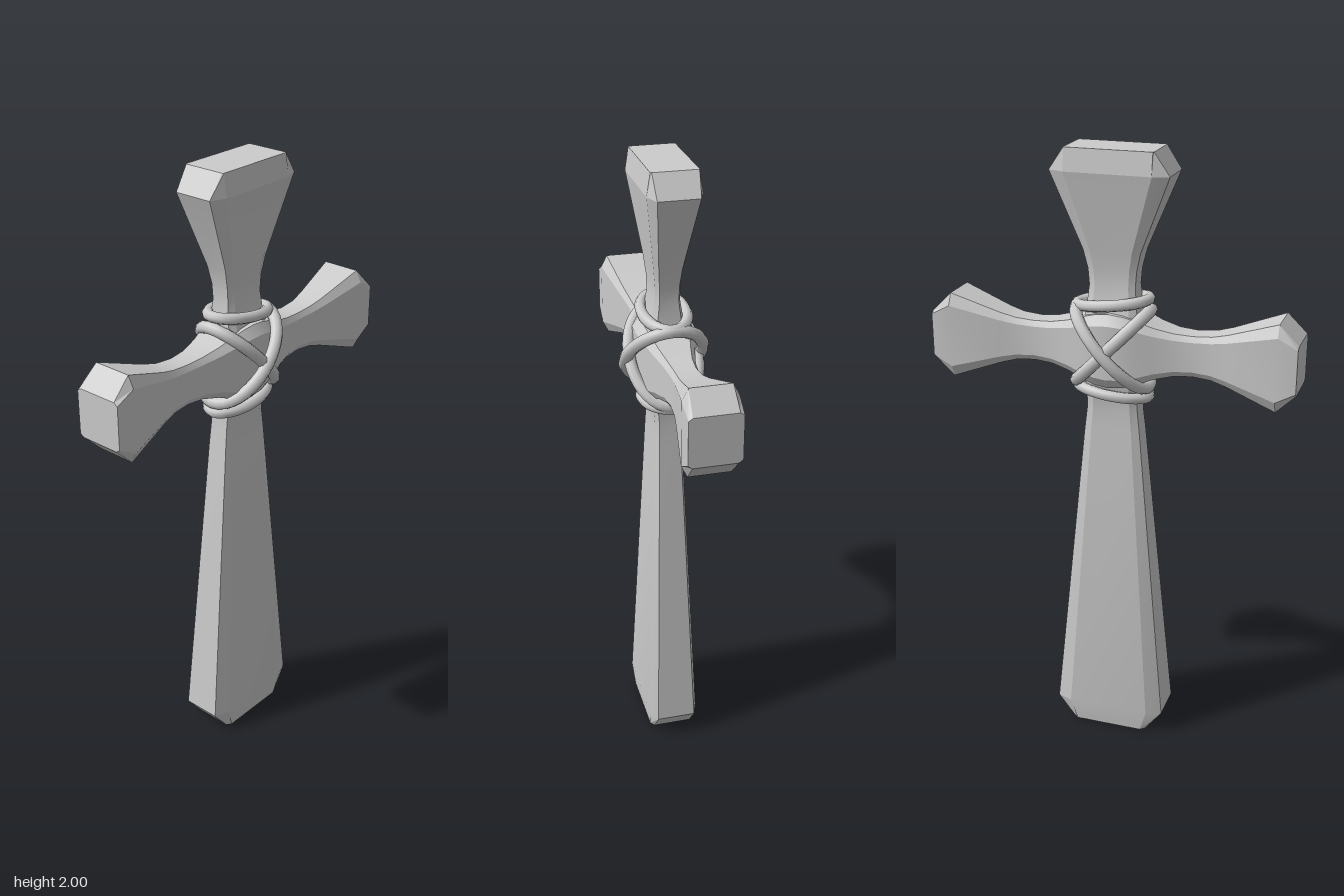
import * as THREE from 'three';
import { mergeVertices, toCreasedNormals } from 'three/addons/utils/BufferGeometryUtils.js';

const CENTRE_Y = 1.38;
const material = new THREE.MeshStandardMaterial({ color: 0xcccccc });

// Bevelled bar along y from stations [y, half width, half depth, bevel share of width, of depth]
function barGeometry(stations) {
  const pos = [], index = [], n = 8;
  for (const [y, w, d, bw = 0.27, bd = 0.23] of stations) {
    const iw = w * (1 - bw), id = d * (1 - bd);
    const ring = [[w, id], [iw, d], [-iw, d], [-w, id], [-w, -id], [-iw, -d], [iw, -d], [w, -id]];
    for (const [x, z] of ring) pos.push(x, y, z);
  }
  const last = (stations.length - 1) * n;
  for (let s = 0; s < last; s += n) {
    for (let i = 0; i < n; i++) {
      const a = s + i, b = s + (i + 1) % n;
      index.push(a, a + n, b, b, a + n, b + n);
    }
  }
  // End caps
  for (let i = 1; i < n - 1; i++) {
    index.push(0, i, i + 1, last, last + i + 1, last + i);
  }
  const g = new THREE.BufferGeometry();
  g.setAttribute('position', new THREE.Float32BufferAttribute(pos, 3));
  g.setIndex(index);
  return toCreasedNormals(mergeVertices(g, 1e-5), 0.3);
}

// Closed elliptical cord loop: long axis in the front plane, short axis along z
function cordLoop(name, y, angle, halfLength, halfDepth, radius) {
  const points = [];
  for (let i = 0; i < 16; i++) {
    const t = (i / 16) * Math.PI * 2;
    const u = Math.cos(t) * halfLength;
    points.push(new THREE.Vector3(u * Math.cos(angle), u * Math.sin(angle), Math.sin(t) * halfDepth));
  }
  const curve = new THREE.CatmullRomCurve3(points, true);
  const mesh = new THREE.Mesh(new THREE.TubeGeometry(curve, 40, radius, 8, true), material);
  mesh.name = name;
  mesh.position.set(0.006, y, 0);
  return mesh;
}

export function createModel() {
  const group = new THREE.Group();
  group.name = 'cross';

  // Upright with flared, bevelled ends and a thicker middle
  const upright = new THREE.Mesh(barGeometry([
    [0, 0.13, 0.076, 0.12, 0.16],
    [0.075, 0.188, 0.083],
    [1.1, 0.092, 0.045],
    [1.17, 0.084, 0.042],
    [1.24, 0.082, 0.048],
    [1.31, 0.09, 0.067],
    [1.38, 0.095, 0.08],
    [1.45, 0.09, 0.067],
    [1.52, 0.08, 0.048],
    [1.58, 0.074, 0.039],
    [1.63, 0.078, 0.04],
    [1.69, 0.092, 0.047],
    [1.93, 0.188, 0.083],
    [2, 0.14, 0.072, 0.02, 0.05],
  ]), material);
  upright.name = 'upright';
  group.add(upright);

  // Crossbar: one half profile, mirrored about the middle
  const half = [
    [0.592, 0.078, 0.08, 0.12, 0.16],
    [0.53, 0.139, 0.083],
    [0.37, 0.083, 0.055],
    [0.32, 0.07, 0.047],
    [0.26, 0.065, 0.044],
    [0.2, 0.069, 0.05],
    [0.14, 0.083, 0.064],
    [0.09, 0.102, 0.079],
    [0.045, 0.115, 0.088],
  ];
  const stations = [
    ...half.map(([x, ...rest]) => [-x, ...rest]),
    [0, 0.12, 0.091],
    ...half.slice().reverse(),
  ];
  const crossbar = new THREE.Mesh(barGeometry(stations), material);
  crossbar.name = 'crossbar';
  crossbar.rotation.z = -Math.PI / 2;
  crossbar.position.y = CENTRE_Y;
  group.add(crossbar);

  // Cord wrapped diagonally over the joint and around the upright
  const binding = new THREE.Group();
  binding.name = 'cordBinding';
  binding.add(
    cordLoop('risingCord', CENTRE_Y, 0.82, 0.172, 0.121, 0.02),
    cordLoop('fallingCord', CENTRE_Y, -0.8, 0.172, 0.108, 0.02),
    cordLoop('upperCord', 1.525, -0.13, 0.117, 0.068, 0.018),
    cordLoop('lowerCord', 1.235, 0.11, 0.119, 0.068, 0.018),
  );
  group.add(binding);
  return group;
}
